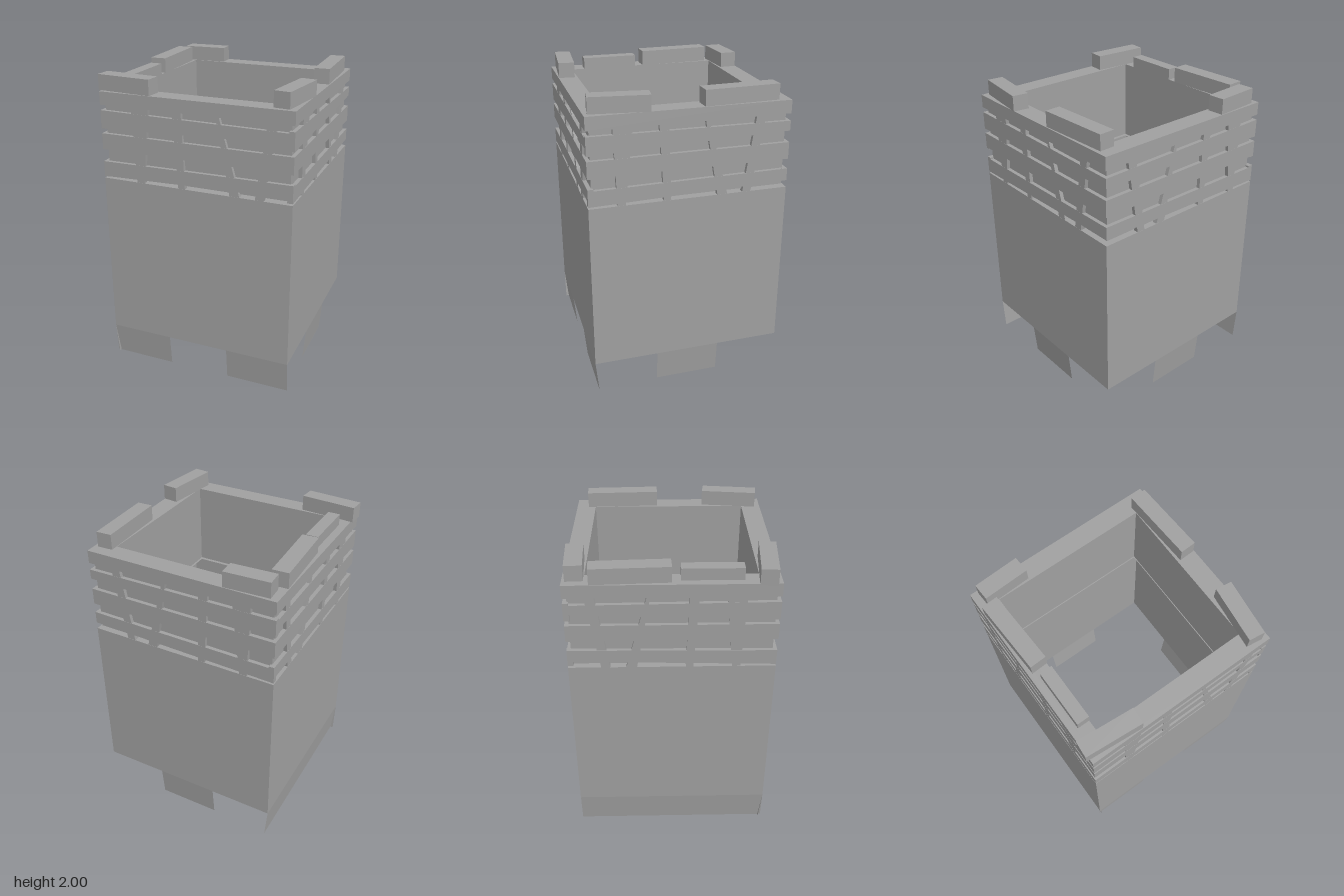
import * as THREE from 'three';

const stone = new THREE.MeshStandardMaterial({ color: 0xa0a0a0, side: THREE.DoubleSide });
stone.name = 'grey stone';

const HALF = 0.639;      // half width of the tower
const CORE = 0.614;      // half width behind the planks
const INNER = 0.511;     // half width of the shaft
const WALL_BOTTOM = 0.215, WALL_TOP = 1.33, RIM = 1.9;

function add(parent, name, geometry) {
  const mesh = new THREE.Mesh(geometry, stone);
  mesh.name = name;
  parent.add(mesh);
  return mesh;
}

// Flat outline pushed out along z
function slab(points, depth) {
  const shape = new THREE.Shape(points.map(([x, y]) => new THREE.Vector2(x, y)));
  return new THREE.ExtrudeGeometry(shape, { depth, bevelEnabled: false });
}

// One open four-cornered sheet
function sheet(a, b, c, d) {
  const geometry = new THREE.BufferGeometry();
  geometry.setAttribute('position', new THREE.Float32BufferAttribute([a, b, c, d].flat(), 3));
  geometry.setIndex([0, 1, 2, 0, 2, 3]);
  geometry.computeVertexNormals();
  return geometry;
}

// Square frame with a square hole, lying flat
function ring(outer, inner) {
  const square = r => [[-r, -r], [r, -r], [r, r], [-r, r]].map(p => new THREE.Vector2(...p));
  const shape = new THREE.Shape(square(outer));
  shape.holes.push(new THREE.Path(square(inner)));
  return shape;
}

// Horizontal planks: y at bottom left, bottom right, top right, top left
const PLANKS = [
  [1.342, 1.375, 1.455, 1.443],
  [1.525, 1.52, 1.63, 1.63],
  [1.662, 1.705, 1.768, 1.78],
  [1.815, 1.815, RIM, RIM],
];

// Leaning posts: x at bottom left, bottom right, top right, top left
const POSTS = [
  [-0.4, -0.35, -0.3, -0.42],
  [-0.11, -0.065, -0.08, -0.14],
  [0.235, 0.3, 0.165, 0.145],
  [0.4, 0.455, 0.535, 0.475],
];

// Faces in order front, right, back, left
const FACES = [
  { name: 'front', mirror: 1, shift: 0, flaps: [[-HALF, -0.21], [0.21, HALF]] },
  { name: 'right', mirror: 1, shift: -0.06, flaps: [[-0.215, 0.21]] },
  { name: 'back', mirror: -1, shift: 0.06, flaps: [[-0.21, 0.21]] },
  { name: 'left', mirror: -1, shift: 0.02, flaps: [[-HALF, HALF]] },
];

function createFace({ name, mirror, shift, flaps }) {
  const face = new THREE.Group();
  face.name = name + 'Face';

  // Plain lower wall and the flaps leaning in below it
  add(face, 'lowerWall', sheet(
    [-HALF, WALL_BOTTOM, HALF], [HALF, WALL_BOTTOM, HALF],
    [HALF, WALL_TOP, HALF], [-HALF, WALL_TOP, HALF]));
  for (const [l, r] of flaps) {
    add(face, 'footFlap', sheet(
      [l, 0, HALF - 0.02], [r, 0, HALF - 0.02],
      [r, WALL_BOTTOM, HALF], [l, WALL_BOTTOM, HALF]));
  }

  // Planks and posts on the upper band
  for (const [bl, br, tr, tl] of PLANKS) {
    const ends = mirror > 0 ? [bl, br, tr, tl] : [br, bl, tl, tr];
    add(face, 'plank', slab([
      [-HALF, ends[0]], [HALF, ends[1]], [HALF, ends[2]], [-HALF, ends[3]],
    ], HALF - CORE + 0.01)).position.z = CORE - 0.01;
  }
  for (const [bl, br, tr, tl] of POSTS) {
    const x = v => mirror * v + shift;
    add(face, 'post', slab([
      [x(bl), WALL_TOP], [x(br), WALL_TOP], [x(tr), 1.83], [x(tl), 1.83],
    ], HALF - CORE + 0.009)).position.z = CORE - 0.01;
  }
  return face;
}

// Loose blocks on the rim: x, z, size x, size z, turn, height
const BLOCKS = [
  [-0.433, -0.573, 0.295, 0.108, 0.05, 0.1],
  [-0.563, -0.242, 0.106, 0.48, 0.045, 0.1],
  [-0.54, 0.237, 0.08, 0.37, 0, 0.075],
  [-0.464, 0.568, 0.37, 0.105, -0.08, 0.1],
  [0.58, -0.322, 0.102, 0.48, 0.04, 0.1],
  [0.576, 0.424, 0.104, 0.37, -0.13, 0.1],
];

export function createModel() {
  const model = new THREE.Group();
  model.name = 'tower';

  const body = new THREE.Group();
  body.name = 'body';
  body.position.x = 0.008;
  model.add(body);

  FACES.forEach((spec, i) => {
    const face = createFace(spec);
    face.rotation.y = i * Math.PI / 2;
    body.add(face);
  });

  // Ledge closing the top of the lower wall
  const ledge = add(body, 'ledge', new THREE.ShapeGeometry(ring(HALF, INNER)));
  ledge.rotation.x = -Math.PI / 2;
  ledge.position.y = WALL_TOP;

  // Thick upper wall behind the planks
  const upper = add(body, 'upperWall', new THREE.ExtrudeGeometry(
    ring(CORE, INNER), { depth: RIM - 1.345, bevelEnabled: false }));
  upper.rotation.x = -Math.PI / 2;
  upper.position.y = 1.345;

  for (const [x, z, sx, sz, turn, height] of BLOCKS) {
    const block = add(model, 'rimBlock', new THREE.BoxGeometry(sx, height, sz));
    block.position.set(x, RIM + height / 2, z);
    block.rotation.y = turn;
  }
  return model;
}
